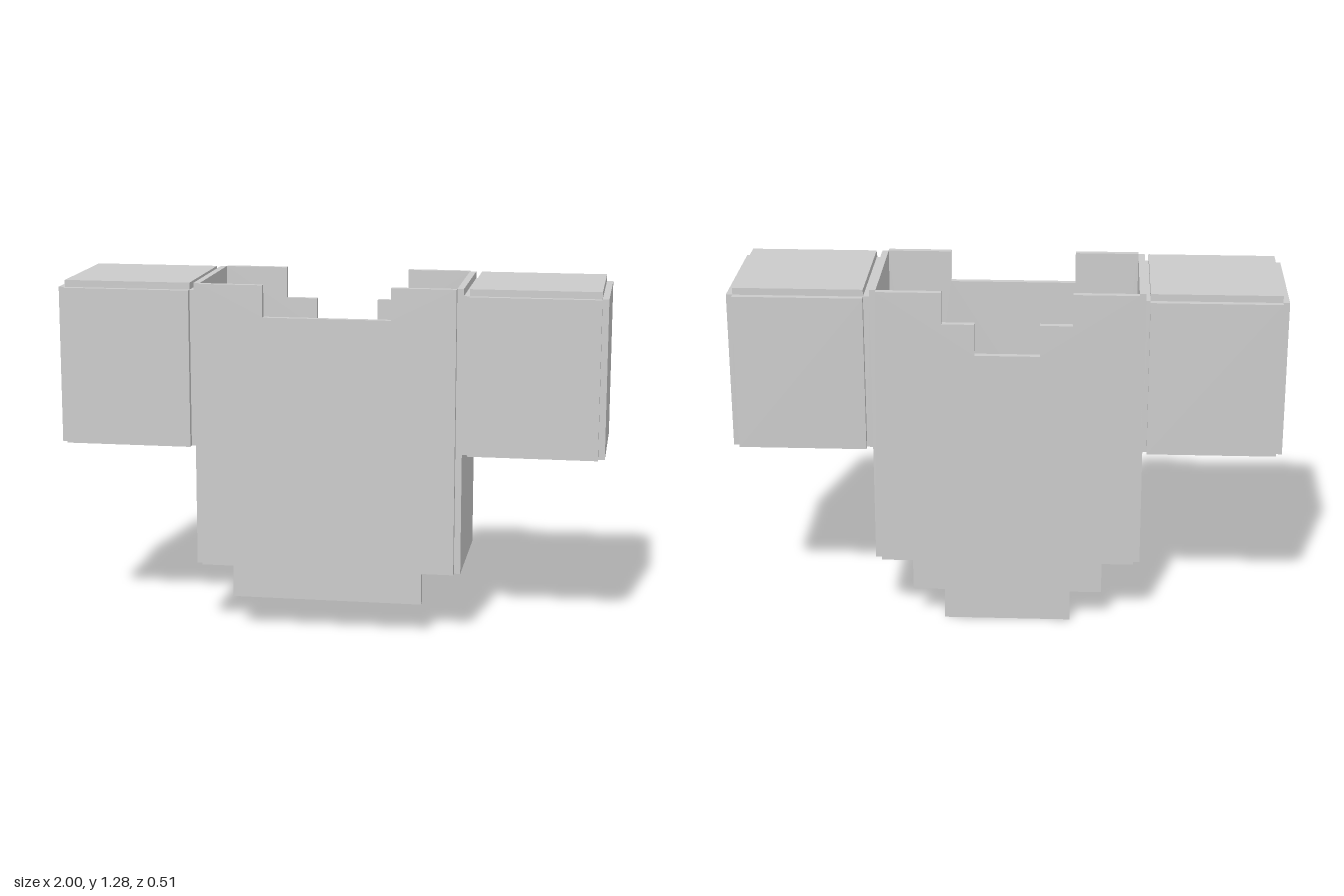
import * as THREE from 'three';

const U = 0.117;          // one grid step of the stepped outlines
const T = 0.0235;         // panel thickness
const D = 0.233;          // half depth inside the panels
const TOP = 1.284;        // top of the body
const HEM = 2 * U;        // bottom of the body sides
const material = new THREE.MeshStandardMaterial({ color: 0xcccccc, flatShading: true });

// Box given by its lower and upper limits on each axis
function slab(name, [x0, x1], [y0, y1], [z0, z1]) {
  const mesh = new THREE.Mesh(new THREE.BoxGeometry(x1 - x0, y1 - y0, z1 - z0), material);
  mesh.position.set((x0 + x1) / 2, (y0 + y1) / 2, (z0 + z1) / 2);
  mesh.name = name;
  return mesh;
}

// Panel with a stepped outline; only its right half is given, bottom to top
function steppedPanel(name, half, z) {
  const mirrored = half.map(([x, y]) => [-x, y]).reverse();
  const shape = new THREE.Shape([...half, ...mirrored].map(([x, y]) => new THREE.Vector2(x, y)));
  const geometry = new THREE.ExtrudeGeometry(shape, { depth: T, bevelEnabled: false });
  const mesh = new THREE.Mesh(geometry, material);
  mesh.position.z = z;
  mesh.name = name;
  return mesh;
}

// Open-bottomed hollow sleeve made of five panels
function sleeve(name, x) {
  const group = new THREE.Group();
  const w = 0.2335, y = [0.68, TOP - T - 0.002];
  group.add(
    slab('sleeveFront', [-w, w], y, [D, D + T]),
    slab('sleeveBack', [-w, w], y, [-D - T, -D]),
    slab('sleeveTop', [-w, w], [y[1], TOP], [-D, D]),
    slab('sleeveLeftSide', [w, w + T], y, [-D, D]),
    slab('sleeveRightSide', [-w - T, -w], y, [-D, D])
  );
  group.position.x = x;
  group.name = name;
  return group;
}

export function createModel() {
  const model = new THREE.Group();
  model.name = 'shirt';

  // Torso: open tube with stepped hem and neckline
  const torso = new THREE.Group();
  torso.name = 'torso';
  const W = 4 * U;
  torso.add(
    steppedPanel('frontPanel', [
      [3 * U, U], [3 * U, HEM], [W, HEM], [W, TOP], [2 * U, TOP], [2 * U, TOP - U]
    ], D),
    steppedPanel('backPanel', [
      [2 * U, 0], [2 * U, U], [3 * U, U], [3 * U, HEM], [W, HEM], [W, TOP],
      [2 * U, TOP], [2 * U, TOP - U], [U, TOP - U], [U, TOP - 2 * U]
    ], -D - T),
    slab('leftSide', [W, W + T], [HEM, TOP], [-D, D]),
    slab('rightSide', [-W - T, -W], [HEM, TOP], [-D, D])
  );
  torso.position.x = -0.004;
  model.add(torso);

  // Sleeves
  model.add(sleeve('leftSleeve', 0.743), sleeve('rightSleeve', -0.744));
  return model;
}
